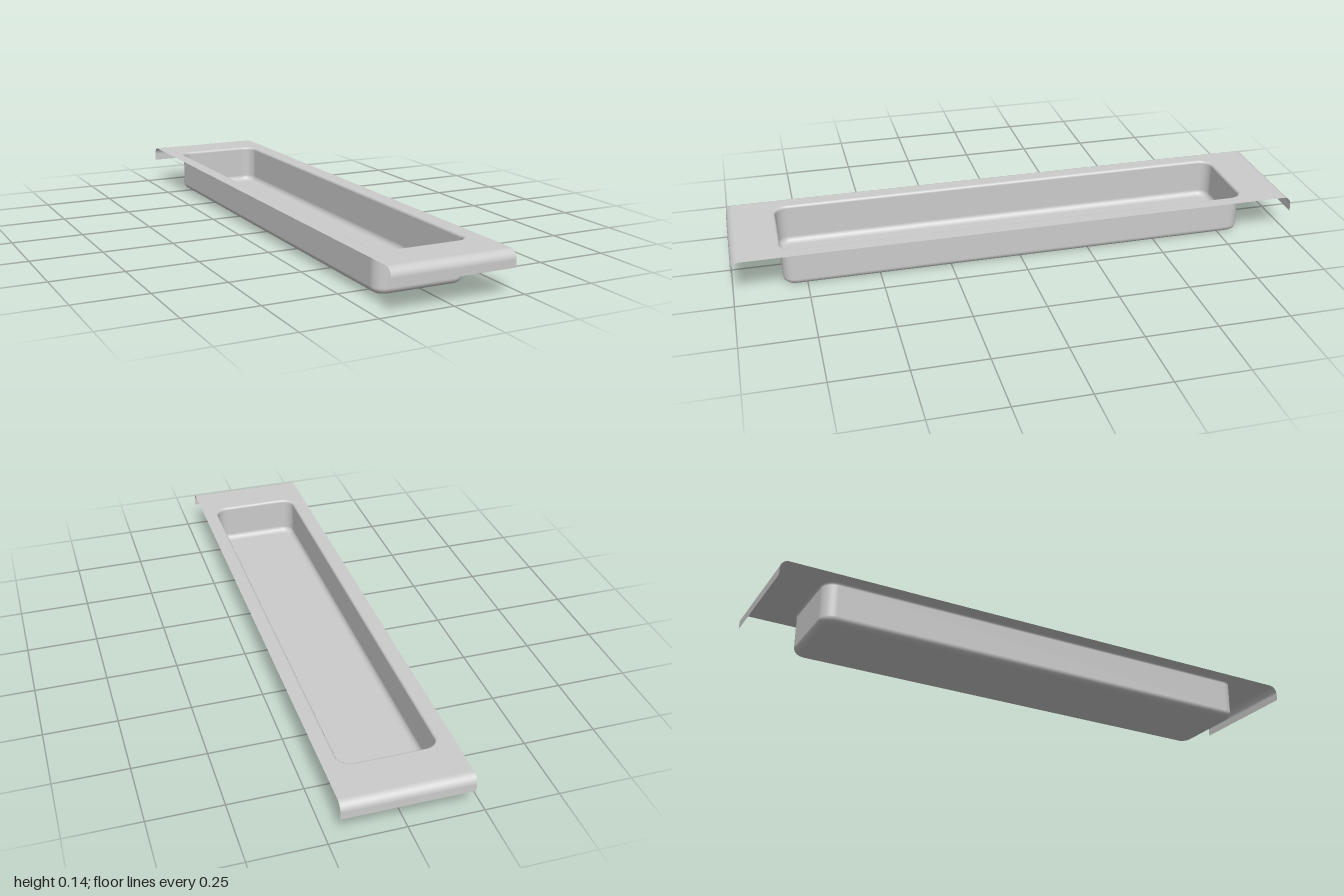
import * as THREE from 'three';

const TOP = 0.143, HALF_W = 0.214, HALF_L = 1;   // rim plate
const TRAY_W = 0.16, TRAY_L = 0.83;              // half sizes of the recess
const CORNER = 0.045, FLOOR_R = 0.022, EDGE_R = 0.01;
const LIP_R = 0.03, LIP_BOTTOM = 0.088;

const material = new THREE.MeshStandardMaterial({ color: 0xcccccc, side: THREE.DoubleSide });

// Arc of a profile: [offset, height, normal offset, normal height]
function arc(cx, cy, r, from, to, sign, steps = 8) {
  return Array.from({ length: steps + 1 }, (_, i) => {
    const a = THREE.MathUtils.degToRad(from + (to - from) * i / steps);
    const c = Math.cos(a), s = Math.sin(a);
    return [cx + r * c, cy + r * s, sign * c, sign * s];
  });
}

// Rounded rectangle loop: corner centre plus outward direction
function loop(steps = 10) {
  const out = [], cx = TRAY_W - CORNER, cz = TRAY_L - CORNER;
  [[1, 1], [-1, 1], [-1, -1], [1, -1]].forEach(([sx, sz], q) => {
    for (let i = 0; i <= steps; i++) {
      const a = (q + i / steps) * Math.PI / 2;
      out.push([sx * cx, sz * cz, Math.cos(a), Math.sin(a)]);
    }
  });
  out.push(out[0]);
  return out;
}

// Smooth sheet from a grid of points with known normals
function sheet(rows, cols, at) {
  const pos = [], nor = [], idx = [];
  for (let i = 0; i < rows; i++) for (let j = 0; j < cols; j++) {
    const [p, n] = at(i, j);
    pos.push(...p);
    nor.push(...n);
    if (i < rows - 1 && j < cols - 1) {
      const a = i * cols + j, b = a + cols;
      idx.push(a, b, a + 1, a + 1, b, b + 1);
    }
  }
  const g = new THREE.BufferGeometry();
  g.setAttribute('position', new THREE.Float32BufferAttribute(pos, 3));
  g.setAttribute('normal', new THREE.Float32BufferAttribute(nor, 3));
  g.setIndex(idx);
  return g;
}

export function createModel() {
  const group = new THREE.Group();
  group.name = 'recessedTray';
  const add = (name, geometry) => {
    const mesh = new THREE.Mesh(geometry, material);
    mesh.name = name;
    group.add(mesh);
    return mesh;
  };

  const ring = loop();
  const outline = off => ring.slice(0, -1).map(([cx, cz, dx, dz]) =>
    new THREE.Vector2(cx + dx * (CORNER + off), cz + dz * (CORNER + off)));
  const flat = (shape, y) => new THREE.ShapeGeometry(shape).rotateX(-Math.PI / 2).translate(0, y, 0);

  // Flat rim with the recess opening
  const endZ = HALF_L - LIP_R;
  const rim = new THREE.Shape([[-1, -1], [1, -1], [1, 1], [-1, 1]].map(
    ([x, z]) => new THREE.Vector2(x * HALF_W, z * endZ)));
  rim.holes.push(new THREE.Path(outline(EDGE_R)));
  add('rim', flat(rim, TOP));

  // Recess walls: rounded upper edge, straight side, rounded foot
  const wall = [
    ...arc(EDGE_R, TOP - EDGE_R, EDGE_R, 90, 180, 1),
    ...arc(-FLOOR_R, FLOOR_R, FLOOR_R, 0, -90, -1),
  ];
  add('trayWalls', sheet(wall.length, ring.length, (i, j) => {
    const [off, y, no, ny] = wall[i], [cx, cz, dx, dz] = ring[j], r = CORNER + off;
    return [[cx + dx * r, y, cz + dz * r], [dx * no, ny, dz * no]];
  }));

  // Recess floor
  add('trayFloor', flat(new THREE.Shape(outline(-FLOOR_R)), 0));

  // Folded lips at both ends
  const fold = [...arc(endZ, TOP - LIP_R, LIP_R, 90, 0, 1), [HALF_L, LIP_BOTTOM, 1, 0]];
  const lip = sheet(fold.length, 2, (i, j) => {
    const [z, y, nz, ny] = fold[i];
    return [[(j * 2 - 1) * HALF_W, y, z], [0, ny, nz]];
  });
  add('frontLip', lip);
  add('backLip', lip).rotation.y = Math.PI;

  return group;
}
